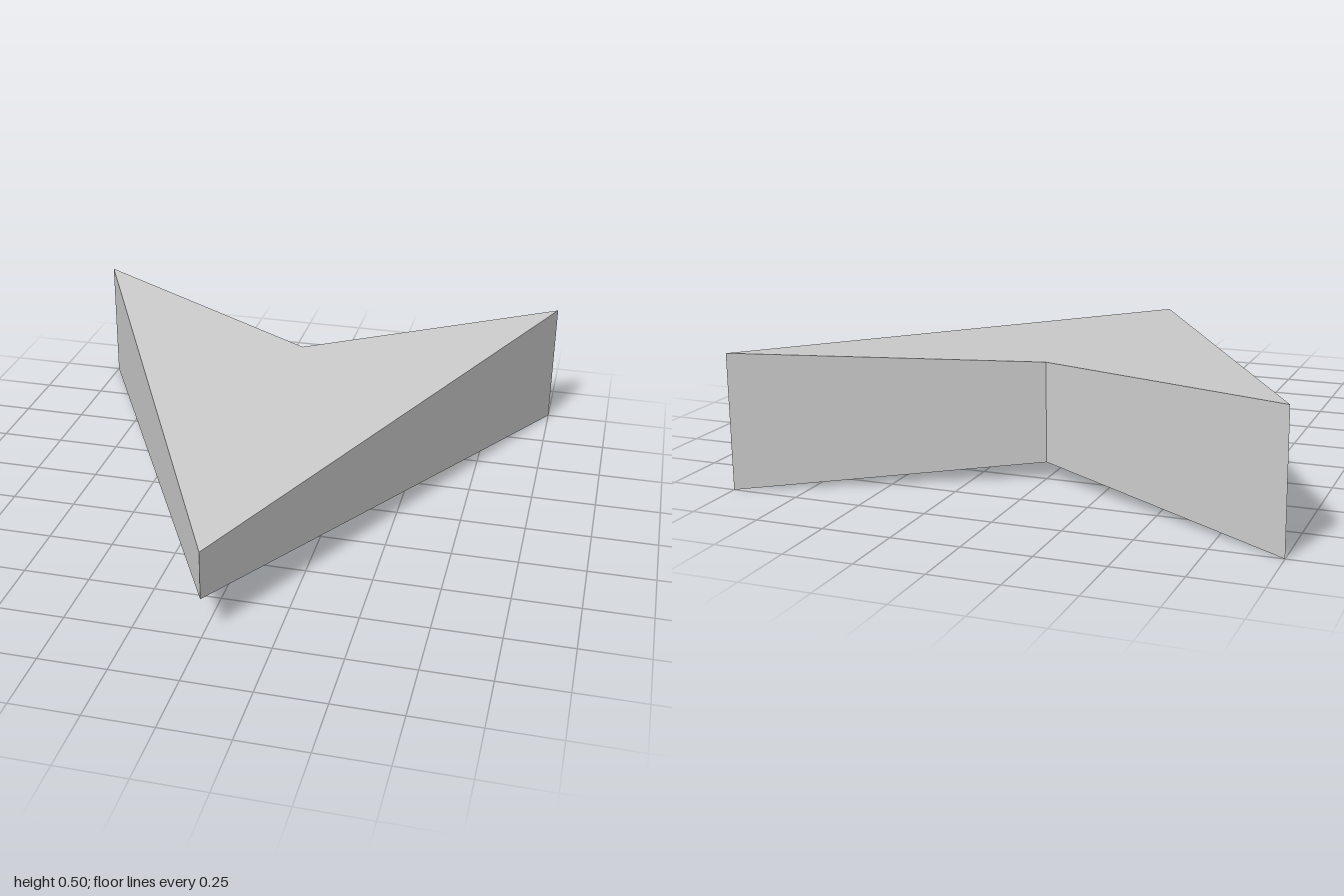
import * as THREE from 'three';

export function createModel() {
  const model = new THREE.Group();
  const grey = new THREE.MeshStandardMaterial({ color: 0xcccccc });
  grey.name = 'light grey';

  // Arrowhead outline: nose, left tip, rear notch, right tip
  const outline = new THREE.Shape([
    new THREE.Vector2(0, -1),
    new THREE.Vector2(1, 1),
    new THREE.Vector2(0, 0.5),
    new THREE.Vector2(-1, 1),
  ]);
  const geometry = new THREE.ExtrudeGeometry(outline, { depth: 1, bevelEnabled: false });
  geometry.rotateX(-Math.PI / 2);

  // Taper the thickness from the tall rear tips to the thin nose
  const halfHeight = (z) => (z > 0 ? 0.093 : z > -0.75 ? 0.187 : 0.25);
  const position = geometry.attributes.position;
  for (let i = 0; i < position.count; i++) {
    const side = position.getY(i) > 0.5 ? 1 : -1;
    position.setY(i, 0.25 + side * halfHeight(position.getZ(i)));
  }
  geometry.computeVertexNormals();

  const arrowhead = new THREE.Mesh(geometry, grey);
  arrowhead.name = 'arrowhead';
  model.add(arrowhead);
  return model;
}
